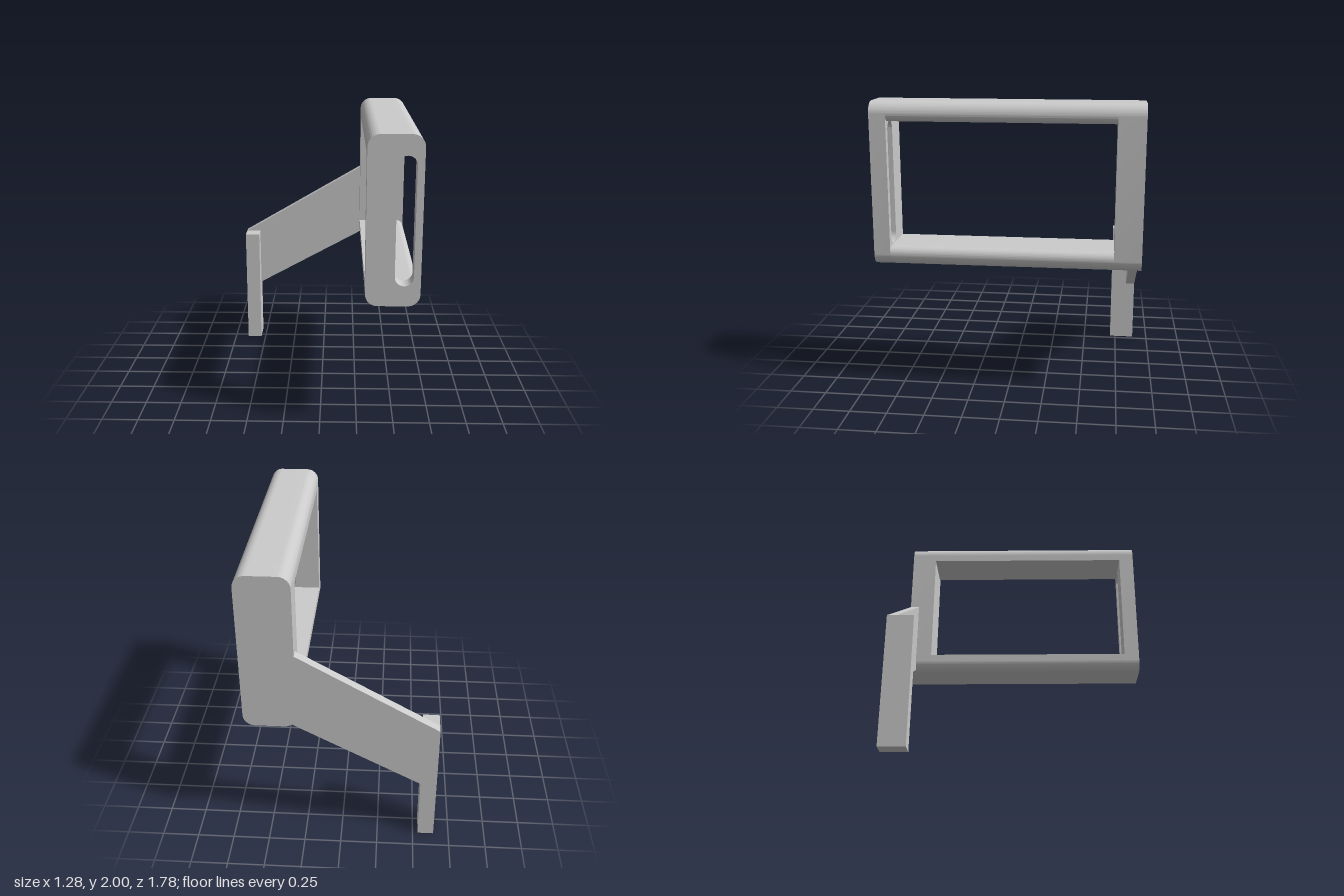
import * as THREE from 'three';
import { toCreasedNormals } from 'three/addons/utils/BufferGeometryUtils.js';

const X0 = 0.29, X1 = 0.64, Y0 = 0.905, Y1 = 2; // frame outline
const R = 0.08, INNER_R = 0.05;                 // outer and inner edge rounding
const BACK = -0.89, BACK_IN = -0.71, FRONT_IN = 0.78, FRONT = 0.89;

export function createModel() {
  const group = new THREE.Group();
  const material = new THREE.MeshStandardMaterial({ color: 0xcccccc });

  // Extrude a front-facing outline between two depths
  function add(name, shape, z0, z1) {
    let geometry = new THREE.ExtrudeGeometry(shape, {
      depth: z1 - z0, bevelEnabled: false, curveSegments: 16,
    });
    geometry.translate(0, 0, z0);
    geometry = toCreasedNormals(geometry, 0.5);
    const mesh = new THREE.Mesh(geometry, material);
    mesh.name = name;
    group.add(mesh);
  }

  const plateShape = () => new THREE.Shape()
    .moveTo(X0 + R, Y0).lineTo(X1 - R, Y0)
    .absarc(X1 - R, Y0 + R, R, -Math.PI / 2, 0)
    .absarc(X1 - R, Y1 - R, R, 0, Math.PI / 2)
    .absarc(X0 + R, Y1 - R, R, Math.PI / 2, Math.PI)
    .absarc(X0 + R, Y0 + R, R, Math.PI, Math.PI * 1.5);

  // End plates: solid at the back, slotted at the front
  add('backPlate', plateShape(), BACK, BACK_IN);
  const slotted = plateShape();
  const sx = 0.535, sr = 0.06;
  slotted.holes.push(new THREE.Path()
    .absarc(sx, 1.87 - sr, sr, 0, Math.PI)
    .absarc(sx, 1.04 + sr, sr, Math.PI, Math.PI * 2)
    .closePath());
  add('slottedFrontPlate', slotted, FRONT_IN, FRONT);

  // Rails joining the plates; the lower one mirrors the upper one
  const inner = Y1 - R - INNER_R;
  const rail = new THREE.Shape()
    .moveTo(X0, inner).lineTo(X1 - INNER_R, inner)
    .absarc(X1 - INNER_R, inner + INNER_R, INNER_R, -Math.PI / 2, 0)
    .absarc(X1 - R, Y1 - R, R, 0, Math.PI / 2)
    .absarc(X0 + R, Y1 - R, R, Math.PI / 2, Math.PI)
    .closePath();
  const mirrored = new THREE.Shape(
    rail.getPoints(16).map((p) => new THREE.Vector2(p.x, Y0 + Y1 - p.y)).reverse());
  add('topRail', rail, BACK_IN, FRONT_IN);
  add('bottomRail', mirrored, BACK_IN, FRONT_IN);

  // Thin slanted arm along the back, wrapping the plate's lower corner
  const arm = new THREE.Shape()
    .moveTo(-0.645, 0.905).lineTo(-0.535, 0.905).lineTo(-0.535, 0.455)
    .lineTo(0.32, 0.922).lineTo(X0, Y0 + R).lineTo(X0, 1.45).closePath();
  add('slantedArm', arm, BACK, -0.825);

  // Square leg
  const leg = new THREE.Shape()
    .moveTo(-0.645, 0).lineTo(-0.535, 0).lineTo(-0.535, 0.905)
    .lineTo(-0.645, 0.905).closePath();
  add('leg', leg, BACK, BACK_IN);

  return group;
}
